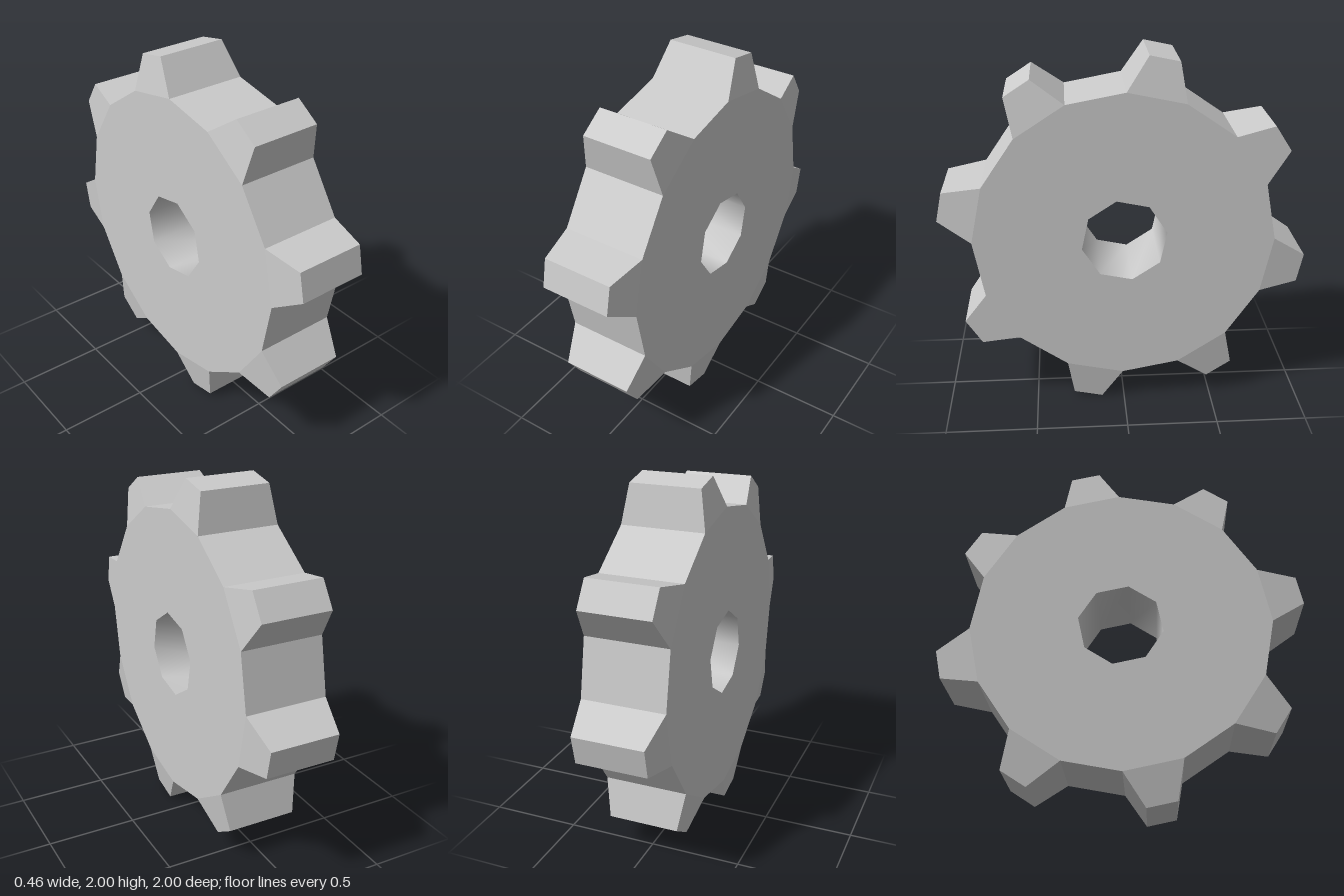
import * as THREE from 'three';
import { mergeVertices } from 'three/addons/utils/BufferGeometryUtils.js';

const TEETH = 8, STEP = 360 / TEETH, PHASE = 11.9;
const HOLE_R = 0.235, ROOT_R = 0.82, TIP_R = 1.008;
const ROOT_HALF = 11.25, TIP_HALF = 4.65; // half widths of a tooth in degrees
const BODY_X = 0.23, TIP_X = 0.195; // half thickness, teeth taper outwards

// Corner on the +x side, angle measured from +y towards -z
function corner(radius, degrees, x) {
  const a = THREE.MathUtils.degToRad(degrees + PHASE);
  return new THREE.Vector3(x, 1 + radius * Math.cos(a), -radius * Math.sin(a));
}

const mirrored = (p) => new THREE.Vector3(-p.x, p.y, p.z);

// Flat polygon as a triangle fan
function face(out, ...pts) {
  for (let i = 1; i < pts.length - 1; i++) {
    for (const p of [pts[0], pts[i], pts[i + 1]]) out.push(p.x, p.y, p.z);
  }
}

// The same polygon on both sides of the wheel
function sides(out, ...pts) {
  face(out, ...pts);
  face(out, ...pts.map(mirrored).reverse());
}

// Wall across the thickness between two corners
const wall = (out, p, q) => face(out, p, q, mirrored(q), mirrored(p));

function geometryFrom(positions, smooth) {
  let g = new THREE.BufferGeometry();
  g.setAttribute('position', new THREE.Float32BufferAttribute(positions, 3));
  if (smooth) g = mergeVertices(g);
  g.computeVertexNormals();
  return g;
}

export function createModel() {
  const group = new THREE.Group();
  group.name = 'gearWheel';
  const body = [], teeth = [], bore = [];

  for (let i = 0; i < TEETH; i++) {
    const mid = i * STEP;
    const holeA = corner(HOLE_R, mid - STEP / 2, BODY_X);
    const holeB = corner(HOLE_R, mid + STEP / 2, BODY_X);
    const rootA = corner(ROOT_R, mid - ROOT_HALF, BODY_X);
    const rootB = corner(ROOT_R, mid + ROOT_HALF, BODY_X);
    const nextA = corner(ROOT_R, mid + STEP - ROOT_HALF, BODY_X);
    const tipA = corner(TIP_R, mid - TIP_HALF, TIP_X);
    const tipB = corner(TIP_R, mid + TIP_HALF, TIP_X);

    // Disc faces and the valley between two teeth
    sides(body, holeA, holeB, rootB, rootA);
    sides(body, holeB, nextA, rootB);
    wall(body, rootB, nextA);

    // Tapered tooth: sides, flanks and tip
    sides(teeth, rootA, rootB, tipB, tipA);
    wall(teeth, rootA, tipA);
    wall(teeth, tipA, tipB);
    wall(teeth, tipB, rootB);

    // Inner wall of the axle hole
    wall(bore, holeB, holeA);
  }

  const add = (name, positions, smooth) => {
    const material = new THREE.MeshStandardMaterial({ color: 0xcccccc, flatShading: !smooth });
    const mesh = new THREE.Mesh(geometryFrom(positions, smooth), material);
    mesh.name = name;
    group.add(mesh);
  };
  add('wheelBody', body, false);
  add('teeth', teeth, false);
  add('axleHole', bore, true);
  return group;
}
